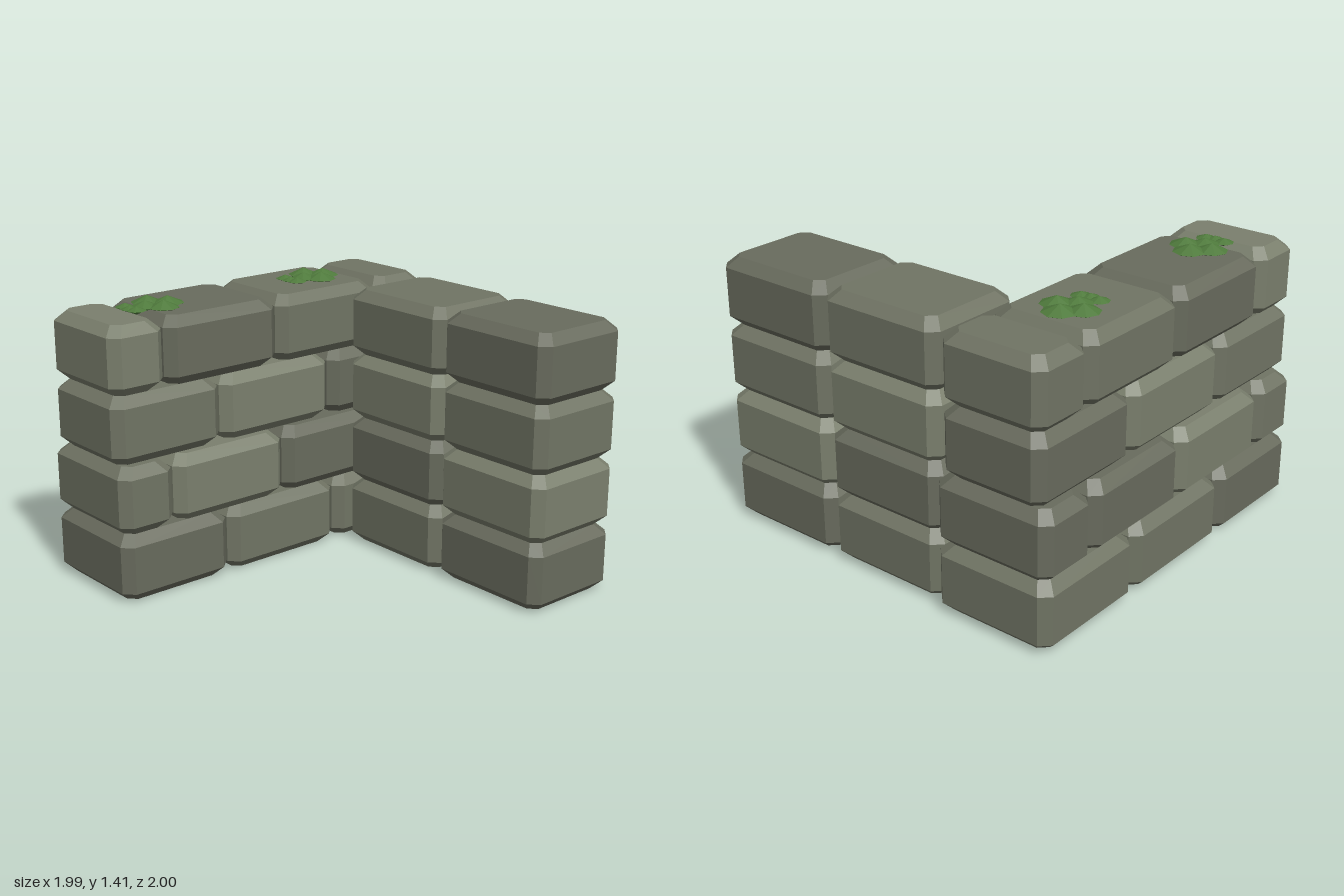
import * as THREE from 'three';
import { ConvexGeometry } from 'three/addons/geometries/ConvexGeometry.js';

const ROW = 0.3425, BEVEL = 0.05;

const paint = (color) => new THREE.MeshStandardMaterial({ color, flatShading: true });
const stones = { D: paint(0x686b5d), M: paint(0x707464), L: paint(0x7a7f6d) };
const moss = paint(0x4f7a3c);

// Octagonal block: cut vertical corners, bevelled top and bottom rims
function blockGeometry(w, h, d) {
  const points = [];
  const levels = [[0, BEVEL], [BEVEL, 0], [h - BEVEL, 0], [h, BEVEL]];
  for (const [y, inset] of levels) {
    const x = w / 2 - inset, z = d / 2 - inset;
    const cut = inset ? 0.04 : 0.05;
    for (const sx of [-1, 1]) for (const sz of [-1, 1]) {
      points.push(new THREE.Vector3(sx * (x - cut), y, sz * z));
      points.push(new THREE.Vector3(sx * x, y, sz * (z - cut)));
    }
  }
  return new ConvexGeometry(points);
}

function addBlock(parent, name, [x0, x1], [z0, z1], row, tone) {
  const mesh = new THREE.Mesh(blockGeometry(x1 - x0, ROW, z1 - z0), stones[tone]);
  mesh.position.set((x0 + x1) / 2, row * ROW, (z0 + z1) / 2);
  mesh.name = name;
  parent.add(mesh);
}

// Clump of flattened, faceted moss pads
function mossClump(x) {
  const clump = new THREE.Group();
  clump.name = 'mossClump';
  const pads = [ // x, z, radius, half height
    [0.14, -0.755, 0.08, 0.036], [0.21, -0.68, 0.085, 0.036], [0.14, -0.61, 0.08, 0.036],
    [0.08, -0.68, 0.075, 0.03],
    [0.0, -0.735, 0.05, 0.02], [-0.01, -0.68, 0.045, 0.018], [0.0, -0.635, 0.05, 0.02],
  ];
  for (const [px, pz, r, h] of pads) {
    const pad = new THREE.Mesh(new THREE.SphereGeometry(1, 8, 2), moss);
    pad.name = 'mossPad';
    pad.scale.set(r, h, r);
    pad.position.set(x + px, 4 * ROW + 0.004, pz);
    clump.add(pad);
  }
  return clump;
}

export function createModel() {
  const model = new THREE.Group();
  model.name = 'cornerWall';

  // Running bond: odd courses start with a long block, even ones with a half block
  const longCourse = [[-0.995, -0.37], [-0.36, 0.33], [0.34, 0.99]];
  const halfCourse = [[-0.995, -0.69], [-0.68, -0.01], [0, 0.65], [0.66, 0.99]];
  const wallTones = ['DMM', 'MLDD', 'MLD', 'LDMM'];
  const wingTones = ['MD', 'DL', 'LM', 'MD'];

  for (let row = 0; row < 4; row++) {
    const course = new THREE.Group();
    course.name = `course${row + 1}`;
    // The two lower courses of the back wall are thicker
    const depth = row < 2 ? [-1, -0.36] : [-0.96, -0.4];
    (row % 2 ? halfCourse : longCourse).forEach((span, i) =>
      addBlock(course, 'wallBlock', span, depth, row, wallTones[row][i]));
    // Side wing running forward from the corner
    [[-0.355, 0.32], [0.322, 0.998]].forEach((span, i) =>
      addBlock(course, 'wingBlock', [0.4, 0.955], span, row, wingTones[row][i]));
    model.add(course);
  }

  model.add(mossClump(-0.7), mossClump(0.3));
  return model;
}
